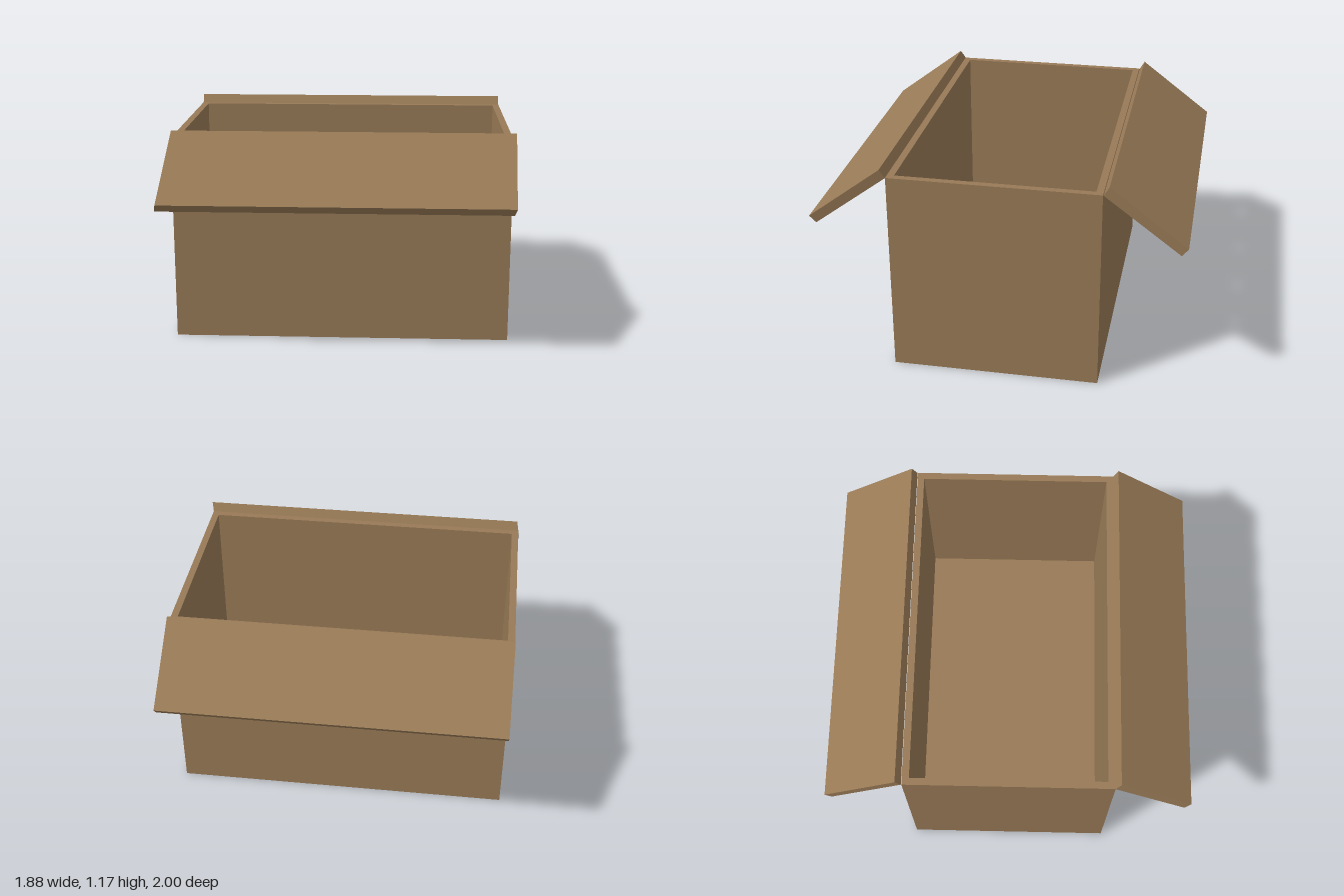
import * as THREE from 'three';

const WIDTH = 1.845, DEPTH = 1.125, HEIGHT = 1.128, WALL = 0.038;
const CX = 0.004, CZ = 0.004;

// Rectangle outline, centred on the origin
function rect(path, w, d) {
  path.moveTo(-w / 2, -d / 2);
  path.lineTo(w / 2, -d / 2);
  path.lineTo(w / 2, d / 2);
  path.lineTo(-w / 2, d / 2);
  path.closePath();
  return path;
}

// Flap cross-section as [z, y], extruded along x; skew(z, y) shifts x
function flapGeometry(profile, skew) {
  const shape = new THREE.Shape(profile.map(([z, y]) => new THREE.Vector2(z, y)));
  const geo = new THREE.ExtrudeGeometry(shape, { depth: WIDTH, bevelEnabled: false });
  geo.rotateY(-Math.PI / 2).translate(WIDTH / 2, 0, 0);
  const p = geo.attributes.position;
  for (let i = 0; i < p.count; i++) p.setX(i, p.getX(i) + skew(p.getZ(i), p.getY(i)));
  geo.computeVertexNormals();
  return geo;
}

export function createModel() {
  const group = new THREE.Group();
  const cardboard = new THREE.MeshStandardMaterial({ color: 0x987a56 });
  cardboard.name = 'cardboard';

  const add = (name, geo) => {
    const mesh = new THREE.Mesh(geo, cardboard);
    mesh.name = name;
    group.add(mesh);
    return mesh;
  };

  // Four walls as one hollow frame
  const innerW = WIDTH - 2 * WALL, innerD = DEPTH - 2 * WALL;
  const frame = rect(new THREE.Shape(), WIDTH, DEPTH);
  frame.holes.push(rect(new THREE.Path(), innerW, innerD));
  const walls = new THREE.ExtrudeGeometry(frame, { depth: HEIGHT, bevelEnabled: false });
  walls.rotateX(-Math.PI / 2);
  add('walls', walls).position.set(CX, 0, CZ);

  // Floor set inside the walls
  add('floor', new THREE.BoxGeometry(innerW, WALL, innerD)).position.set(CX, WALL / 2, CZ);

  // Open flaps; the front one hangs slightly askew
  const profile = [[0.566, 1.127], [0.595, 1.175], [1.0, 0.865], [0.966, 0.824]];
  add('frontFlap', flapGeometry(profile,
    (z, y) => 0.014 + 0.077 * (z - 0.595) + 0.17 * (y - 1.175)));
  add('backFlap', flapGeometry(profile.map(([z, y]) => [z > 0.9 ? -z : 0.005 - z, y]), () => CX));

  return group;
}
